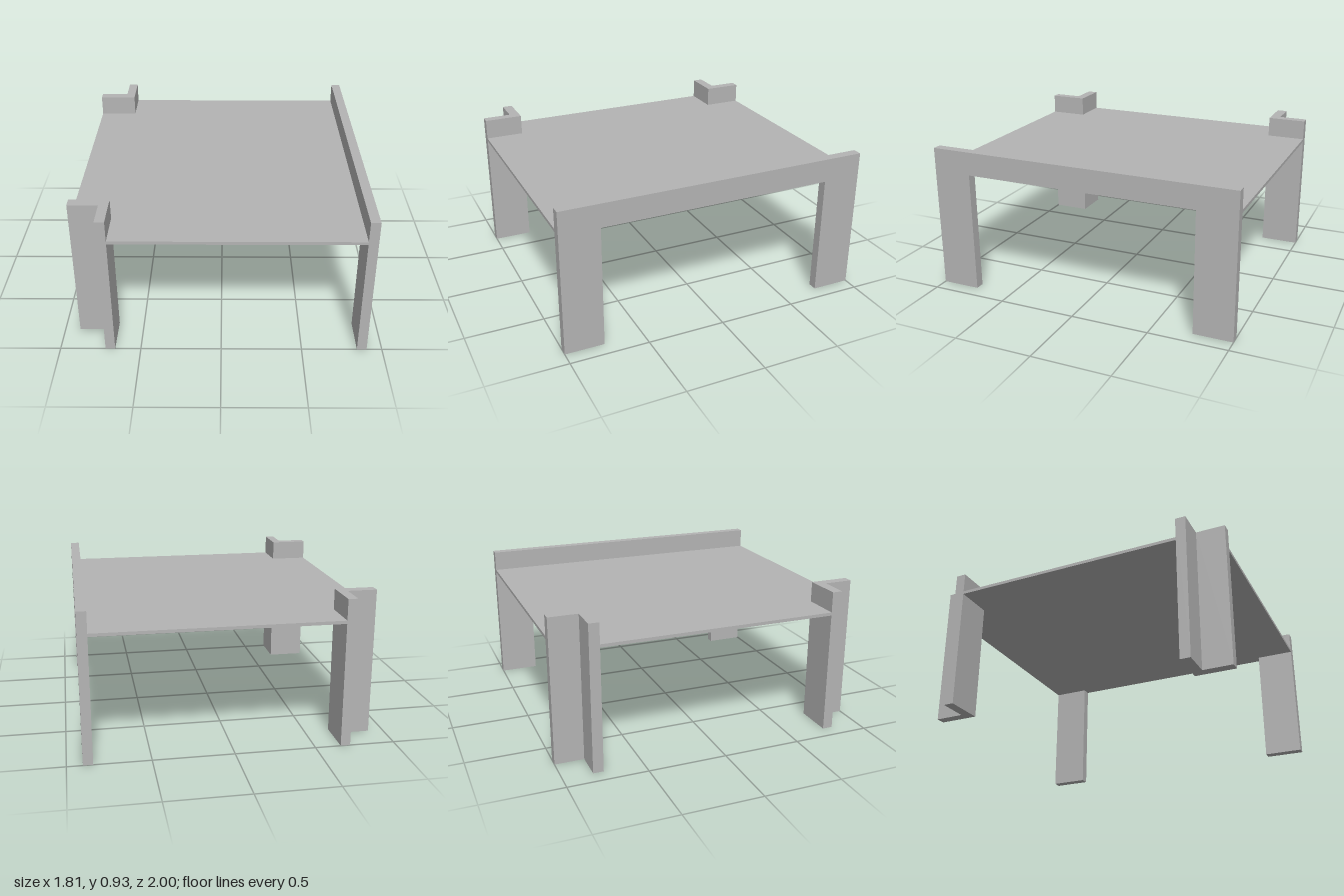
import * as THREE from 'three';

const HEIGHT = 0.93, TOP_Y = 0.80, UNDER_Y = 0.78;

// Extrude a closed outline of [x, y] points
function extrude(points, depth) {
  const shape = new THREE.Shape(points.map(([x, y]) => new THREE.Vector2(x, y)));
  return new THREE.ExtrudeGeometry(shape, { depth, bevelEnabled: false });
}

// Extrude a plan outline of [x, z] points upwards from y0 to y1
function plan(points, y0, y1) {
  const g = extrude(points.map(([x, z]) => [x, -z]), y1 - y0);
  g.rotateX(-Math.PI / 2);
  g.translate(0, y0, 0);
  return g;
}

export function createModel() {
  const model = new THREE.Group();
  model.name = 'table';
  const grey = new THREE.MeshStandardMaterial({ color: 0xb4b4b4 });
  grey.name = 'grey';

  const add = (name, geometry) => {
    const mesh = new THREE.Mesh(geometry, grey);
    mesh.name = name;
    model.add(mesh);
    return mesh;
  };

  // Thin top, notched around the two corner legs
  add('tableTop', plan([
    [-0.905, -0.75], [-0.66, -0.75], [-0.66, -1], [0.845, -1],
    [0.845, 1], [-0.66, 1], [-0.66, 0.75], [-0.905, 0.75],
  ], UNDER_Y, TOP_Y));

  // Left side: two legs and a rail in one arch-shaped board
  const arch = extrude([
    [-1, 0], [-0.75, 0], [-0.75, UNDER_Y], [0.75, UNDER_Y],
    [0.75, 0], [1, 0], [1, HEIGHT], [-1, HEIGHT],
  ], 0.06);
  arch.rotateY(Math.PI / 2);
  arch.translate(0.845, 0, 0);
  add('sideFrame', arch);

  // Right side: L-shaped corner legs, open towards the outside
  for (const [name, s] of [['frontCornerLeg', 1], ['backCornerLeg', -1]]) {
    const outline = [
      [-0.905, 0.75], [-0.66, 0.75], [-0.66, 1],
      [-0.72, 1], [-0.72, 0.815], [-0.905, 0.815],
    ].map(([x, z]) => [x, z * s]);
    add(name, plan(outline, 0, HEIGHT));
  }

  return model;
}
